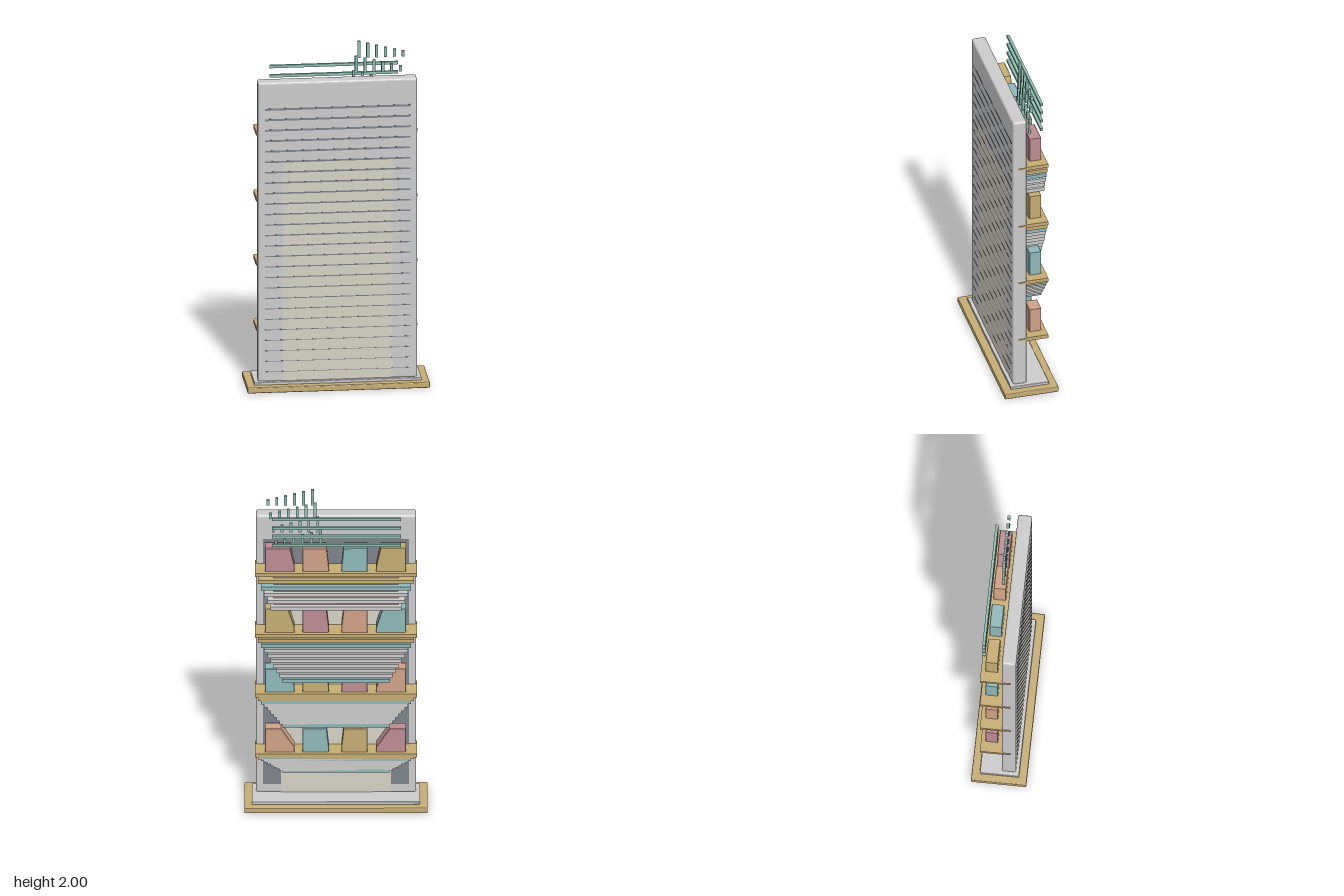
import * as THREE from 'three';
import { RoundedBoxGeometry } from 'three/addons/geometries/RoundedBoxGeometry.js';

const mat = (color) => new THREE.MeshStandardMaterial({ color, flatShading: true });
const grey = mat(0xcccccc), gold = mat(0xc6ad74), teal = mat(0x8fb8ba), salmon = mat(0xd0a287),
  pink = mat(0xbd8d93), mint = mat(0x8fbfb2), dark = mat(0x7d838b), cream = mat(0xd5d1c4);

export function createModel() {
  const model = new THREE.Group();

  const add = (parent, name, geometry, material) => {
    const mesh = new THREE.Mesh(geometry, material);
    mesh.name = name;
    parent.add(mesh);
    return mesh;
  };
  // Box given by its limits on each axis; r rounds the edges
  const box = (parent, name, material, [x0, x1], [y0, y1], [z0, z1], r = 0) => {
    const s = [x1 - x0, y1 - y0, z1 - z0];
    const g = r ? new RoundedBoxGeometry(...s, 2, r) : new THREE.BoxGeometry(...s);
    const mesh = add(parent, name, g, material);
    mesh.position.set((x0 + x1) / 2, (y0 + y1) / 2, (z0 + z1) / 2);
    return mesh;
  };

  // Base, plinth and upright slab
  box(model, 'base', gold, [-0.515, 0.515], [0, 0.034], [-0.157, 0.155], 0.006);
  box(model, 'plinth', grey, [-0.473, 0.473], [0.032, 0.05], [-0.112, 0.11], 0.004);
  box(model, 'slab', grey, [-0.45, 0.45], [0.045, 1.81], [0.01, 0.09], 0.012);

  // Thin panels on the faces of the slab
  box(model, 'backPanel', dark, [-0.41, 0.41], [0.1, 1.66], [0.009, 0.02]);
  box(model, 'backInsetPanel', cream, [-0.31, 0.31], [0.05, 1.34], [0.008, 0.02]);
  box(model, 'frontPanel', cream, [-0.31, 0.31], [0.05, 1.34], [0.08, 0.0905]);
  for (let i = 0; i < 26; i++) {
    const y = 1.655 - i * 0.062, h = 0.009 - i * 0.00028;
    box(model, 'frontLine', dark, [-0.41, 0.41], [y - h, y + h * 0.3], [0.08, 0.091]);
  }

  // Block with its inner top corner cut back, mirrored for the right side
  const block = (parent, material, inner, outer, y, cut, side) => {
    const h = 0.145;
    const pts = [[inner, 0], [outer, 0], [outer, h], [inner + cut, h], [inner, h * 0.2]]
      .map(([x, v]) => new THREE.Vector2(x * side, v));
    const g = new THREE.ExtrudeGeometry(new THREE.Shape(pts), {
      depth: 0.064, bevelThickness: 0.003, bevelSize: 0.003, bevelSegments: 1,
    });
    add(parent, 'block', g, material).position.set(0, y, -0.084);
  };

  // Four shelves, each on a stepped stack that opens out with height
  const colors = [pink, salmon, teal, gold];
  [0.355, 0.737, 1.117, 1.505].forEach((top, n) => {
    const shelf = new THREE.Group();
    shelf.name = 'shelf';
    model.add(shelf);
    const pitch = 0.0106 * (n + 1), count = n === 3 ? 6 : 10;
    for (let i = 0; i < count; i++) {
      const half = 0.455 - i * 0.0172, y = top - i * pitch;
      const material = i < 2 ? gold : i === 2 || i === 9 ? teal : grey;
      box(shelf, 'shelfLayer', material, [-half, half], [y - 0.022, y], [-0.113, 0.016]);
    }
    box(shelf, 'shelfTongue', gold, [-0.455, 0.455], [top - 0.016, top - 0.006], [0, 0.06]);

    // Row of blocks whose colours shift by one per shelf
    const cut = [0.075, 0.045, 0.035, 0.025][n];
    const spans = [[0.235, 0.397, 1], [0.043, 0.185, 1], [0.033, 0.175, -1], [0.228, 0.39, -1]];
    spans.forEach(([a, b, side], k) => {
      const end = k === 0 || k === 3;
      block(shelf, colors[(k + n + 1) % 4], a, b, top, end ? cut : 0.012, side);
    });
    if (n === 3) box(shelf, 'shelfCore', pink, [-0.35, 0.35], [1.285, 1.49], [-0.085, -0.015]);
  });

  // Horizontal rods behind the top edge
  for (const y of [1.845, 1.79, 1.735, 1.68])
    box(model, 'rod', mint, [-0.365, 0.36], [y - 0.008, y + 0.008], [-0.108, -0.092]);

  // Stepped upright sticks that break up towards the left end
  for (let j = 0; j < 6; j++) {
    for (let k = 0; k < 4; k++) {
      const x = 0.133 + j * 0.05 - k * 0.015, y = 2 - j * 0.013 - k * 0.087;
      box(model, 'stick', mint, [x - 0.008, x + 0.008], [y - 0.097 + j * 0.013, y], [-0.043, -0.027]);
    }
  }

  return model;
}
